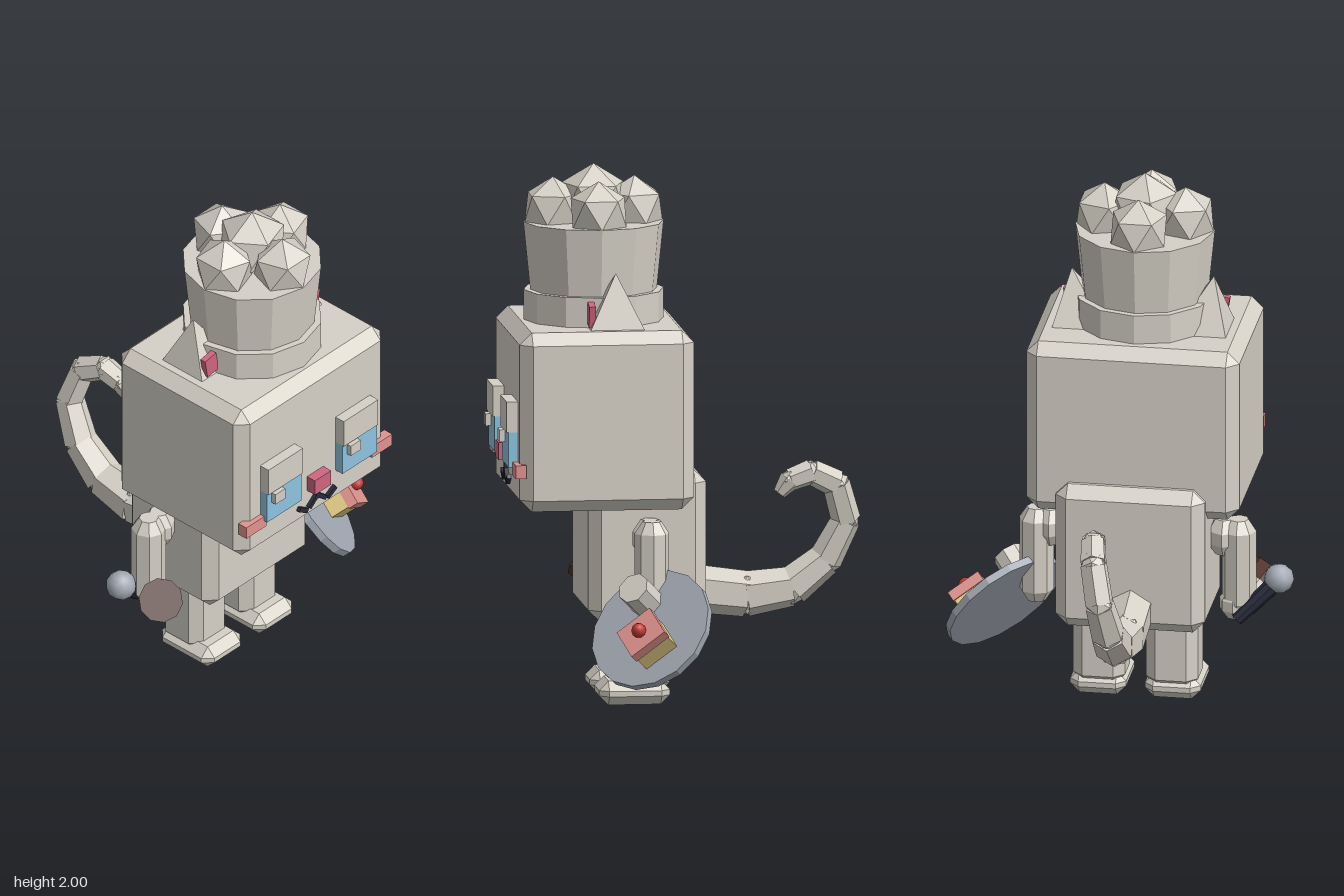
import * as THREE from 'three';
import { ConvexGeometry } from 'three/addons/geometries/ConvexGeometry.js';

const CX = -0.07; // mirror plane of the figure
const V = (x, y, z) => new THREE.Vector3(x, y, z);

// Flat facets for any geometry
function flat(geo) {
  const g = geo.index ? geo.toNonIndexed() : geo;
  g.computeVertexNormals();
  return g;
}

// Box with every edge cut by c
function chamferBox(w, h, d, c) {
  const pts = [];
  const [x, y, z] = [w / 2, h / 2, d / 2];
  for (const i of [-1, 1]) for (const j of [-1, 1]) for (const k of [-1, 1]) {
    pts.push(V(i * x, j * (y - c), k * (z - c)));
    pts.push(V(i * (x - c), j * y, k * (z - c)));
    pts.push(V(i * (x - c), j * (y - c), k * z));
  }
  return new ConvexGeometry(pts);
}

// Faceted upright capsule
function capsule(r, h, cut, sides) {
  const p = [[0, -h / 2], [r * 0.55, -h / 2], [r, -h / 2 + cut], [r, h / 2 - cut], [r * 0.55, h / 2], [0, h / 2]];
  return flat(new THREE.LatheGeometry(p.map(([a, b]) => new THREE.Vector2(a, b)), sides));
}

// Icosahedron standing on a corner
function puff(r) {
  return new THREE.IcosahedronGeometry(r, 0).rotateZ(Math.atan(2 / (1 + Math.sqrt(5))));
}

export function createModel() {
  const root = new THREE.Group();
  root.name = 'catChef';
  const mat = (name, color) => {
    const m = new THREE.MeshStandardMaterial({ color });
    m.name = name;
    return m;
  };
  const cream = mat('cream', 0xd6d1c7), blue = mat('eyeBlue', 0x8cc4e0), rose = mat('rose', 0xcf667e);
  const coral = mat('coral', 0xe0938e), sponge = mat('sponge', 0xe6ce86), steel = mat('steel', 0xa3a9b4);
  const brown = mat('brown', 0x54332a), navy = mat('navy', 0x292b3c), red = mat('cherryRed', 0xc23a34);

  const add = (name, geo, material, x = 0, y = 0, z = 0, parent = root) => {
    const m = new THREE.Mesh(geo, material);
    m.name = name;
    m.position.set(x, y, z);
    parent.add(m);
    return m;
  };
  // Box given by its limits on each axis
  const slab = (name, material, x0, x1, y0, y1, z0, z1) =>
    add(name, new THREE.BoxGeometry(x1 - x0, y1 - y0, z1 - z0), material, (x0 + x1) / 2, (y0 + y1) / 2, (z0 + z1) / 2);
  // Tapered prism between two points
  const rod = (name, material, a, b, ra, rb, sides) => {
    const d = b.clone().sub(a);
    const m = add(name, flat(new THREE.CylinderGeometry(rb, ra, d.length(), sides)), material);
    m.position.copy(a).add(b).multiplyScalar(0.5);
    m.quaternion.setFromUnitVectors(V(0, 1, 0), d.normalize());
    return m;
  };

  // Head and body
  add('head', chamferBox(0.8, 0.67, 0.65, 0.045), cream, CX, 1.085, 0.305);
  add('body', chamferBox(0.56, 0.565, 0.44, 0.045), cream, CX, 0.598, 0.14);

  // Limbs, ears and whisker-side details in mirrored pairs
  for (const s of [-1, 1]) {
    const X = (o) => CX + s * o;
    add('leg', chamferBox(0.195, 0.34, 0.195, 0.04), cream, X(0.137), 0.21, 0.148);
    add('foot', chamferBox(0.21, 0.09, 0.265, 0.035), cream, X(0.14), 0.045, 0.183);
    add('shoulder', capsule(0.065, 0.14, 0.045, 6), cream, X(0.325), 0.64, 0.14);
    add('arm', capsule(0.065, 0.37, 0.045, 8), cream, X(0.38), 0.525, 0.14);

    // Four-sided ear leaning outward
    const ear = new THREE.ConeGeometry(0.145, 0.21, 4).rotateY(Math.PI / 4);
    const p = ear.attributes.position;
    for (let i = 0; i < p.count; i++) p.setX(i, p.getX(i) + s * 0.2 * (p.getY(i) + 0.105));
    add('ear', flat(ear), cream, X(0.225), 1.52, 0.26);
    add('innerEar', new THREE.BoxGeometry(0.06, 0.08, 0.024), rose, X(0.277), 1.472, 0.352).rotation.z = -s * 0.17;

    // Cheek and mouth strokes
    add('blush', new THREE.BoxGeometry(0.11, 0.05, 0.04), coral, X(0.342), 0.905, 0.63);
    const stroke = new THREE.BoxGeometry(0.052, 0.018, 0.02);
    add('mouthInner', stroke, navy, X(0.025), 0.842, 0.635).rotation.z = -s * 0.7;
    add('mouthOuter', stroke, navy, X(0.077), 0.833, 0.635).rotation.z = s * 0.55;
  }

  // Sleepy eyes
  for (const x of [-0.37, 0.04]) {
    slab('eyelid', cream, x, x + 0.187, 1.04, 1.155, 0.6, 0.672);
    slab('iris', blue, x, x + 0.187, 0.91, 1.04, 0.6, 0.665);
    slab('eyeGlint', cream, x + 0.024, x + 0.078, 0.99, 1.035, 0.62, 0.685);
  }
  slab('nose', rose, -0.115, -0.027, 0.9, 0.965, 0.6, 0.67);
  slab('mouthStem', navy, -0.079, -0.061, 0.848, 0.905, 0.62, 0.645);

  // Tall hat with a puffy crown
  add('hatBand', flat(new THREE.CylinderGeometry(0.262, 0.262, 0.12, 12)), cream, CX, 1.472, 0.31);
  add('hatTube', flat(new THREE.CylinderGeometry(0.262, 0.235, 0.27, 12)), cream, CX, 1.65, 0.31);
  add('crownPuff', puff(0.135), cream, CX, 1.865, 0.31);
  for (let i = 0; i < 4; i++) {
    const a = i * Math.PI / 2;
    add('crownPuff', puff(0.118), cream, CX + 0.152 * Math.cos(a), 1.835, 0.31 + 0.152 * Math.sin(a)).rotation.y = -a;
  }

  // Curled tail: x, y, z, radius
  const tail = [
    [-0.075, 0.4, -0.06, 0.09], [-0.08, 0.375, -0.26, 0.086], [-0.075, 0.4, -0.43, 0.075],
    [-0.07, 0.5, -0.555, 0.064], [-0.05, 0.65, -0.63, 0.055], [-0.022, 0.79, -0.59, 0.052],
    [-0.006, 0.838, -0.495, 0.048], [0, 0.81, -0.415, 0.043], [0, 0.76, -0.375, 0.025],
  ];
  for (let i = 0; i + 1 < tail.length; i++) {
    const [a, b] = [tail[i], tail[i + 1]];
    rod('tailSegment', cream, V(a[0], a[1], a[2]), V(b[0], b[1], b[2]), a[3], b[3], 6);
    if (i) add('tailJoint', new THREE.IcosahedronGeometry(a[3] * 0.98, 0), cream, a[0], a[1], a[2]);
  }

  // Hand carrying a tilted tray; the tray's own y axis is its normal
  const n = V(0.62, 0.57, 0.54).normalize();
  const across = V(0.78, -0.55, -0.31);
  across.addScaledVector(n, -across.dot(n)).normalize();
  const tray = new THREE.Group();
  tray.name = 'trayWithCake';
  tray.position.set(0.437, 0.322, 0.155);
  tray.quaternion.setFromRotationMatrix(new THREE.Matrix4().makeBasis(across, n, across.clone().cross(n)));
  root.add(tray);
  add('tray', flat(new THREE.CylinderGeometry(0.243, 0.243, 0.03, 16)), steel, 0, 0, 0, tray);
  const [u, w] = [0.085, 0.022];
  add('cakeSponge', new THREE.BoxGeometry(0.127, 0.08, 0.142), sponge, u, 0.052, w, tray);
  add('cakeIcing', new THREE.BoxGeometry(0.137, 0.04, 0.154), coral, u, 0.11, w, tray);
  add('cherry', new THREE.IcosahedronGeometry(0.028, 1), red, u, 0.145, w, tray);
  rod('trayHand', cream, V(0.355, 0.405, 0.155), V(0.43, 0.48, 0.225), 0.062, 0.062, 8);

  // Hand with a cup: brown rim, pale sleeve, brown base
  add('cupHand', capsule(0.058, 0.11, 0.035, 8), cream, -0.435, 0.375, 0.135);
  const top = V(-0.54, 0.45, 0.285), bottom = V(-0.455, 0.354, 0.19);
  const at = (t) => bottom.clone().lerp(top, t);
  rod('cupBase', brown, at(0), at(0.35), 0.062, 0.068, 10);
  rod('cupSleeve', cream, at(0.35), at(0.58), 0.07, 0.073, 10);
  rod('cupRim', brown, at(0.58), at(1), 0.076, 0.083, 10);

  // Microphone behind the cup
  rod('microphoneHandle', navy, V(-0.45, 0.33, 0.08), V(-0.59, 0.467, 0.134), 0.024, 0.034, 8);
  add('microphoneHead', new THREE.IcosahedronGeometry(0.057, 1), steel, -0.6, 0.48, 0.14);

  return root;
}
